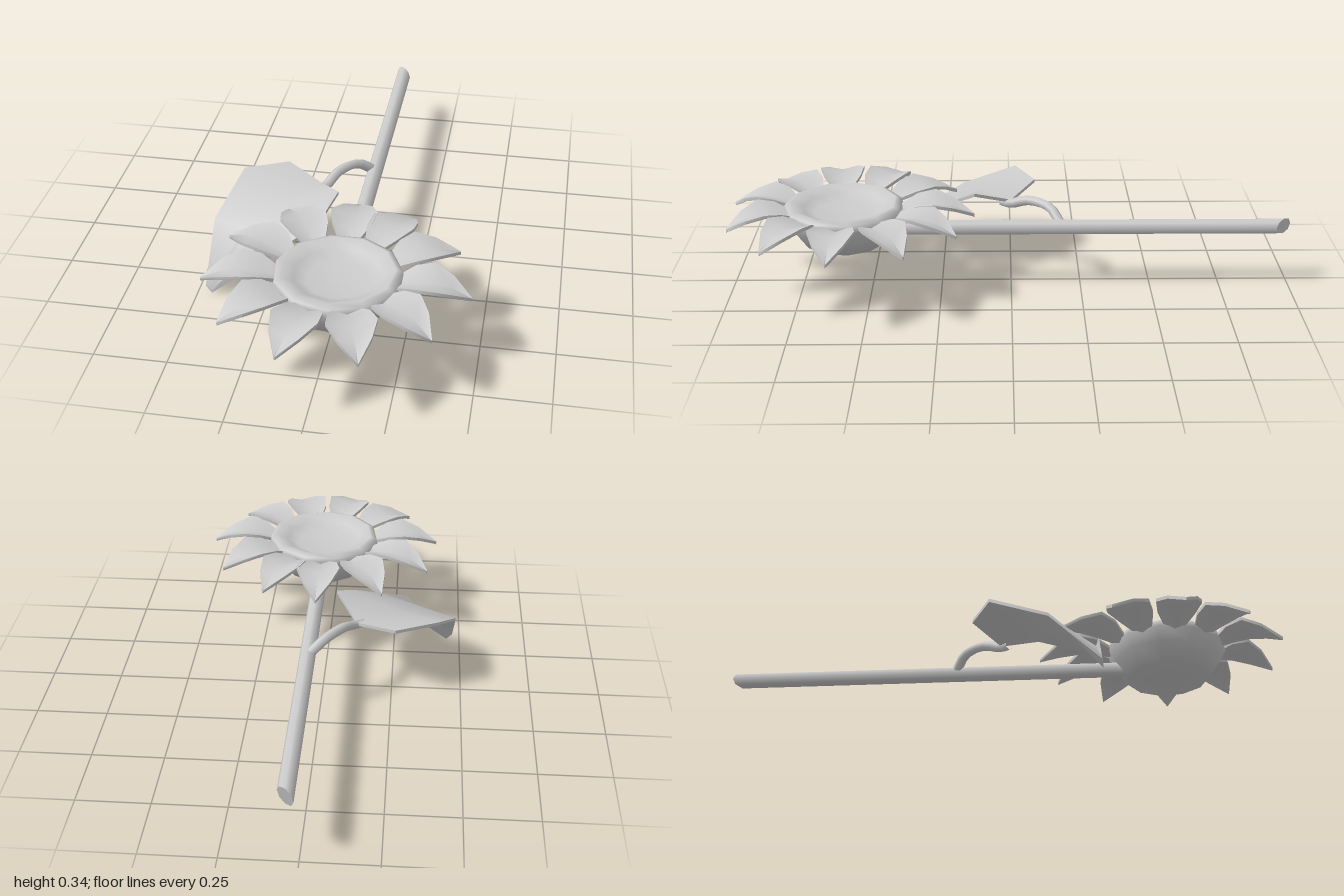
import * as THREE from 'three';
import { toCreasedNormals } from 'three/addons/utils/BufferGeometryUtils.js';

const grey = new THREE.MeshStandardMaterial({ color: 0xcccccc });

function part(name, geometry) {
  const mesh = new THREE.Mesh(geometry, grey);
  mesh.name = name;
  return mesh;
}

// Closed thin sheet from rows of points, thickened downward
function sheet(rows, thickness) {
  const R = rows.length, C = rows[0].length, n = R * C;
  const pos = [], index = [];
  for (const drop of [0, thickness])
    for (const row of rows) for (const [x, y, z] of row) pos.push(x, y - drop, z);
  const at = (r, c) => r * C + c;
  for (let r = 0; r < R - 1; r++) {
    for (let c = 0; c < C - 1; c++) {
      const a = at(r, c), b = at(r + 1, c), d = at(r, c + 1), e = at(r + 1, c + 1);
      index.push(a, b, d, b, e, d);
      index.push(a + n, d + n, b + n, b + n, d + n, e + n);
    }
  }
  // Walls around the rim
  const rim = [];
  for (let r = 0; r < R - 1; r++) rim.push(at(r, 0));
  for (let c = 0; c < C - 1; c++) rim.push(at(R - 1, c));
  for (let r = R - 1; r > 0; r--) rim.push(at(r, C - 1));
  for (let c = C - 1; c > 0; c--) rim.push(at(0, c));
  rim.forEach((a, i) => {
    const b = rim[(i + 1) % rim.length];
    index.push(a, a + n, b, b, a + n, b + n);
  });
  const geo = new THREE.BufferGeometry();
  geo.setAttribute('position', new THREE.Float32BufferAttribute(pos, 3));
  geo.setIndex(index);
  return toCreasedNormals(geo, 0.9);
}

// Cupped petal pointing along +z: [radius share, half width, edge y, middle y]
function petalGeometry(length) {
  const sections = [
    [0.42, 0.03, 0.3, 0.29],
    [0.56, 0.066, 0.33, 0.305],
    [0.7, 0.08, 0.34, 0.315],
    [0.85, 0.052, 0.317, 0.305],
    [1, 0.002, 0.277, 0.275],
  ];
  return sheet(sections.map(([t, w, edge, mid]) => [
    [-w, edge, t * length], [0, mid, t * length], [w, edge, t * length],
  ]), 0.012);
}

export function createModel() {
  const model = new THREE.Group();

  // Flower head: bowl with a rounded rim and sunken centre
  const flower = new THREE.Group();
  flower.name = 'flower';
  flower.position.set(0.04, 0, 0.59);
  const profile = [
    [0, 0.18], [0.145, 0.18], [0.19, 0.245], [0.215, 0.29], [0.208, 0.315],
    [0.185, 0.325], [0.145, 0.305], [0.105, 0.285], [0, 0.285],
  ].map(([r, y]) => new THREE.Vector2(r, y));
  flower.add(part('flowerHead', new THREE.LatheGeometry(profile, 11)));

  // Petals, aimed at slightly uneven tips [x, z]
  const tips = [
    [0.04, 0.13], [0.24, 0.19], [0.41, 0.36], [0.47, 0.61], [0.37, 0.84], [0.17, 0.985],
    [-0.08, 0.995], [-0.29, 0.86], [-0.4, 0.64], [-0.365, 0.39], [-0.2, 0.2],
  ];
  for (const [x, z] of tips) {
    const dx = x - 0.04, dz = z - 0.59;
    const petal = part('petal', petalGeometry(Math.hypot(dx, dz)));
    petal.rotation.y = Math.atan2(dx, dz);
    flower.add(petal);
  }
  model.add(flower);

  // Stem lying along z, cut at a slant at the far end
  const stemGeo = new THREE.CylinderGeometry(0.028, 0.028, 1.45, 8);
  stemGeo.rotateX(Math.PI / 2).translate(0.042, 0.225, -0.275);
  const p = stemGeo.attributes.position;
  for (let i = 0; i < p.count; i++)
    if (p.getZ(i) < -0.5) p.setZ(i, -1 + (p.getX(i) - 0.014) * 1.07);
  model.add(part('stem', stemGeo));

  // Leaf stalk arching from the stem
  const arch = new THREE.CatmullRomCurve3([
    [0.035, 0.235, -0.175], [-0.015, 0.275, -0.14], [-0.075, 0.28, -0.065], [-0.11, 0.255, 0.0],
    [-0.14, 0.25, 0.03],
  ].map((v) => new THREE.Vector3(...v)));
  model.add(part('leafStalk', new THREE.TubeGeometry(arch, 10, 0.018, 6)));

  // Broad drooping leaf: rows from the stalk to the tip
  model.add(part('leaf', sheet([
    [[-0.26, 0.29, -0.09], [-0.12, 0.265, 0], [-0.04, 0.32, 0.13]],
    [[-0.41, 0.29, -0.02], [-0.25, 0.255, 0.12], [-0.09, 0.26, 0.25]],
    [[-0.475, 0.195, 0.18], [-0.34, 0.21, 0.235], [-0.2, 0.205, 0.335]],
    [[-0.472, 0.035, 0.352], [-0.45, 0.012, 0.356], [-0.295, 0.19, 0.345]],
  ], 0.012)));

  return model;
}
